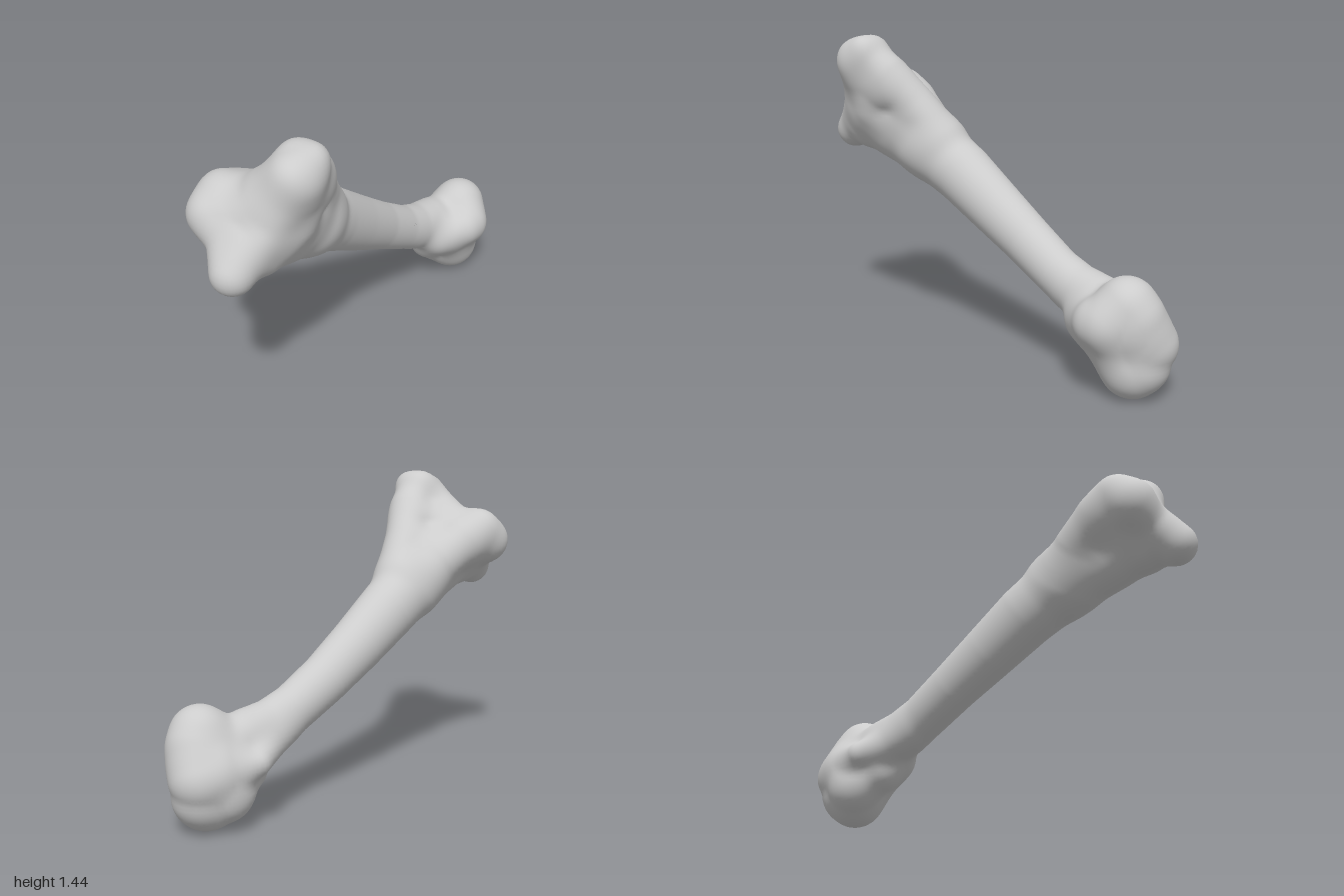
import * as THREE from 'three';

// Every part is a chain of [x, y, z, radius] balls joined by tapering rods.
const shaft = [
  [-0.07, 0.97, 0.62, 0.15], [-0.065, 0.9, 0.4, 0.155], [-0.055, 0.785, 0.2, 0.145],
  [-0.03, 0.655, 0, 0.131], [0, 0.53, -0.2, 0.117], [0.04, 0.425, -0.38, 0.11],
  [0.068, 0.372, -0.5, 0.115], [0.1, 0.34, -0.62, 0.125], [0.14, 0.29, -0.76, 0.135],
];

// Upper end: three knobs at the corners of a triangular end face
const tall = [0.07, 1.29, 0.71, 0.096];
const side = [-0.255, 1.09, 0.78, 0.1];
const front = [-0.1, 0.94, 0.92, 0.078];
const tallRidge = [tall, [0.075, 1.31, 0.66, 0.1], [0.055, 1.24, 0.57, 0.1], [0, 1.1, 0.45, 0.1], [-0.04, 0.95, 0.33, 0.108]];
const tallCrest = [[0.05, 1.355, 0.66, 0.06], [0.12, 1.36, 0.66, 0.055], [0.08, 1.33, 0.755, 0.062]];
const sideRidge = [side, [-0.25, 1.14, 0.72, 0.105], [-0.215, 1.09, 0.62, 0.105], [-0.15, 1, 0.5, 0.115], shaft[1]];
const faceRim = [front, [-0.17, 1.01, 0.84, 0.08], side, [-0.11, 1.18, 0.71, 0.085], tall, [-0.01, 1.1, 0.79, 0.085], front];
const faceSlope = [front, [-0.13, 1.1, 0.79, 0.09], tall];
const knobWebs = [[0.05, 1.2, 0.67, 0.105], [0, 1.08, 0.67, 0.125], [-0.08, 0.98, 0.77, 0.125], [-0.19, 1.08, 0.67, 0.122], [-0.05, 1.15, 0.64, 0.11]];
const endBody = [[0.03, 1.17, 0.58, 0.11], [-0.06, 1.07, 0.7, 0.145], [-0.05, 1.02, 0.52, 0.145]];

// Lower end: a rounded head with a small bump on its flank
const crown = [0.19, 0.38, -0.8, 0.115];
const outer = [0.245, 0.31, -0.74, 0.107];
const sole = [0.15, 0.12, -0.81, 0.117];
const instep = [0.08, 0.145, -0.77, 0.1];
const headTop = [crown, outer, [0.245, 0.31, -0.69, 0.098], [0.15, 0.28, -0.6, 0.1]];
const headBack = [crown, [0.18, 0.33, -0.84, 0.12], [0.13, 0.22, -0.865, 0.13], [0.14, 0.14, -0.86, 0.11], sole, instep];
const headCore = [outer, [0.16, 0.26, -0.79, 0.15], sole, outer];
const headFront = [instep, [0.09, 0.21, -0.64, 0.097], [0.17, 0.24, -0.68, 0.1], sole];
const flankBump = [instep, [0.07, 0.24, -0.81, 0.1], [-0.025, 0.27, -0.685, 0.056], [0.02, 0.31, -0.56, 0.065], [0.04, 0.36, -0.46, 0.07]];

const lumps = () => [
  tallRidge, tallCrest, sideRidge, faceRim, faceSlope, knobWebs, endBody,
  headTop, headBack, headCore, headFront, flankBump,
];

// Distance to a chain; sx above 1 narrows it sideways
function chainDistance(chain, x, y, z, sx = 1) {
  let best = Infinity;
  for (let i = 0; i + 1 < chain.length; i++) {
    const [ax, ay, az, ar] = chain[i], [bx, by, bz, br] = chain[i + 1];
    const ux = bx - ax, uy = by - ay, uz = bz - az;
    const dot = (x - ax) * ux + (y - ay) * uy + (z - az) * uz;
    const t = Math.min(1, Math.max(0, dot / (ux * ux + uy * uy + uz * uz)));
    const dx = (x - ax - ux * t) * sx, dy = y - ay - uy * t, dz = z - az - uz * t;
    best = Math.min(best, Math.sqrt(dx * dx + dy * dy + dz * dz) - ar - (br - ar) * t);
  }
  return best;
}

// All chains blended softly into one body
function boneDistance(x, y, z) {
  const k = 0.055;
  let d = chainDistance(shaft, x, y, z, 1.08);
  for (const chain of lumps()) {
    const e = chainDistance(chain, x, y, z);
    const h = Math.max(k - Math.abs(d - e), 0);
    d = Math.min(d, e) - h * h / (4 * k);
  }
  return d;
}

function gradient([x, y, z], e) {
  const f = boneDistance;
  return [
    (f(x + e, y, z) - f(x - e, y, z)) / (2 * e),
    (f(x, y + e, z) - f(x, y - e, z)) / (2 * e),
    (f(x, y, z + e) - f(x, y, z - e)) / (2 * e),
  ];
}

// Skin the blended body: one vertex per surface cell, one quad per crossed grid edge
function skinGeometry() {
  const s = 0.02, min = [-0.45, -0.08, -1.09], n = [46, 80, 110];
  const stride = [1, n[0], n[0] * n[1]];
  const values = new Float32Array(n[0] * n[1] * n[2]);
  const eachCell = (visit) => {
    for (let k = 0; k < n[2]; k++)
      for (let j = 0; j < n[1]; j++)
        for (let i = 0; i < n[0]; i++) visit(i, j, k, i + j * stride[1] + k * stride[2]);
  };
  eachCell((i, j, k, c) => {
    values[c] = boneDistance(min[0] + i * s, min[1] + j * s, min[2] + k * s);
  });

  const positions = [], normals = [], indices = [], vertexOf = new Map();
  const vertex = (c) => {
    if (vertexOf.has(c)) return vertexOf.get(c);
    const ijk = [c % n[0], Math.floor(c / n[0]) % n[1], Math.floor(c / stride[2])];
    const p = ijk.map((v, a) => min[a] + (v + 0.5) * s);
    // slide the cell centre onto the surface
    for (let step = 0; step < 4; step++) {
      const g = gradient(p, 0.002), d = boneDistance(...p);
      const len2 = Math.max(0.3, g[0] * g[0] + g[1] * g[1] + g[2] * g[2]);
      for (let a = 0; a < 3; a++) p[a] -= d * g[a] / len2;
    }
    const normal = new THREE.Vector3(...gradient(p, 0.025)).normalize();
    const id = positions.length / 3;
    positions.push(...p);
    normals.push(normal.x, normal.y, normal.z);
    vertexOf.set(c, id);
    return id;
  };
  eachCell((i, j, k, c) => {
    if (!i || !j || !k || i === n[0] - 1 || j === n[1] - 1 || k === n[2] - 1) return;
    for (let a = 0; a < 3; a++) {
      const inside = values[c] < 0;
      if (inside === values[c + stride[a]] < 0) continue;
      const u = stride[(a + 1) % 3], v = stride[(a + 2) % 3];
      const q = [c - u - v, c - v, c, c - u].map(vertex);
      if (!inside) q.reverse();
      indices.push(q[0], q[1], q[2], q[0], q[2], q[3]);
    }
  });

  const geometry = new THREE.BufferGeometry();
  geometry.setAttribute('position', new THREE.Float32BufferAttribute(positions, 3));
  geometry.setAttribute('normal', new THREE.Float32BufferAttribute(normals, 3));
  geometry.setIndex(indices);
  return geometry;
}

export function createModel() {
  const group = new THREE.Group();
  group.name = 'legBone';
  const material = new THREE.MeshStandardMaterial({ color: 0xcccccc });
  material.name = 'bone grey';
  const bone = new THREE.Mesh(skinGeometry(), material);
  bone.name = 'bone';
  group.add(bone);
  return group;
}
